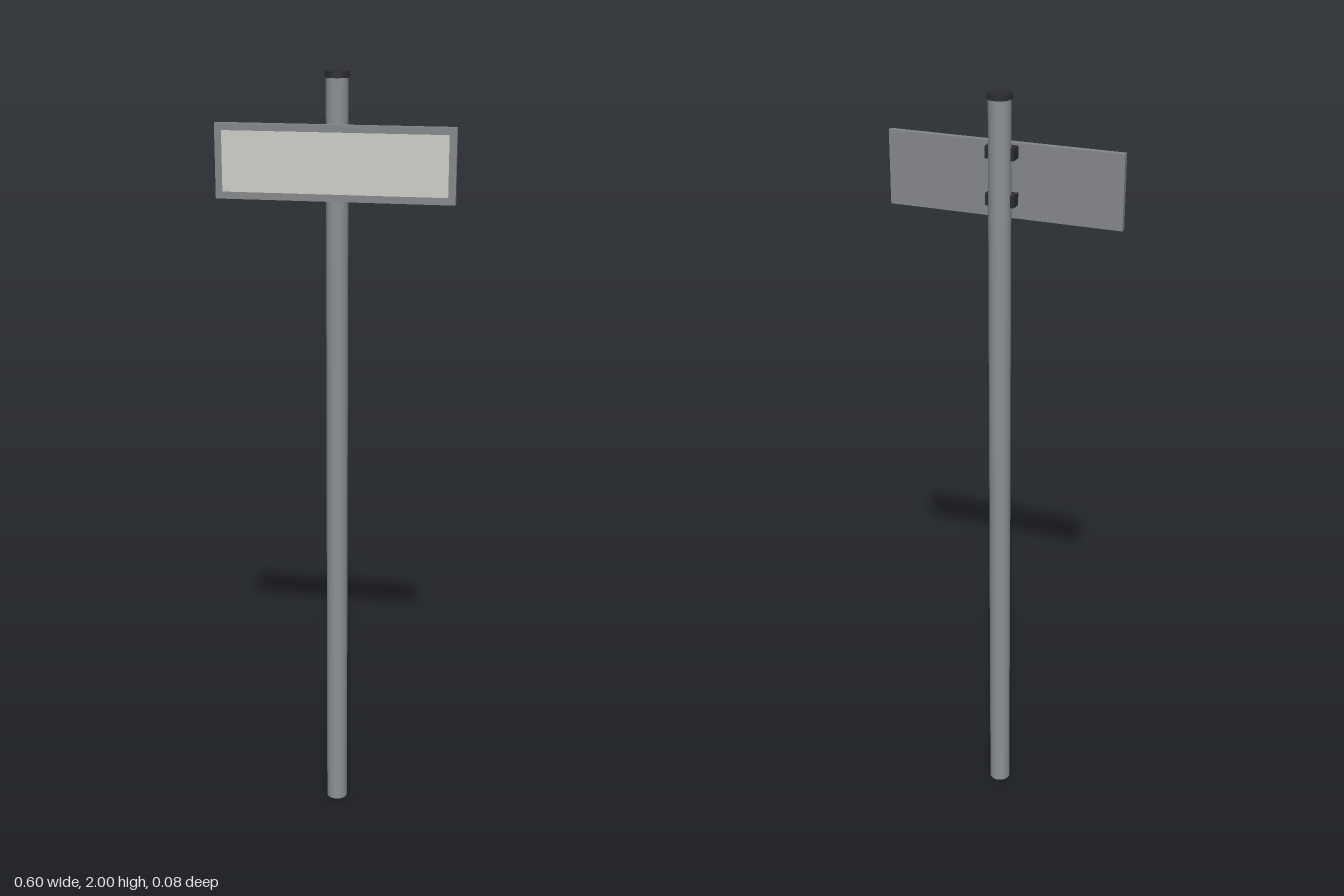
import * as THREE from 'three';

export function createModel() {
  const model = new THREE.Group();
  const steel = new THREE.MeshStandardMaterial({ color: 0x8c9196 });
  const dark = new THREE.MeshStandardMaterial({ color: 0x2c2d2f });
  const frameGrey = new THREE.MeshStandardMaterial({ color: 0x85888b });
  const faceGrey = new THREE.MeshStandardMaterial({ color: 0xcfcfc8 });

  const add = (name, geometry, material, x, y, z) => {
    const mesh = new THREE.Mesh(geometry, material);
    mesh.name = name;
    mesh.position.set(x, y, z);
    model.add(mesh);
  };

  // Round post and its slightly wider cap
  const postZ = -0.008;
  const capHeight = 0.016;
  const postHeight = 2 - capHeight;
  add('post', new THREE.CylinderGeometry(0.028, 0.028, postHeight, 24), steel, 0, postHeight / 2, postZ);
  add('postCap', new THREE.CylinderGeometry(0.03, 0.03, capHeight, 24), dark, 0, 2 - capHeight / 2, postZ);

  // Sign plate with a thin raised face on the front
  const signY = 1.782;
  add('signPlate', new THREE.BoxGeometry(0.6, 0.186, 0.015), frameGrey, 0, signY, 0.0275);
  add('signFace', new THREE.BoxGeometry(0.564, 0.15, 0.003), faceGrey, 0, signY, 0.0355);

  // Two clamps holding the plate to the post
  for (const y of [1.739, 1.854]) {
    add('clamp', new THREE.BoxGeometry(0.074, 0.03, 0.031), dark, 0, y, 0.005);
  }

  return model;
}
